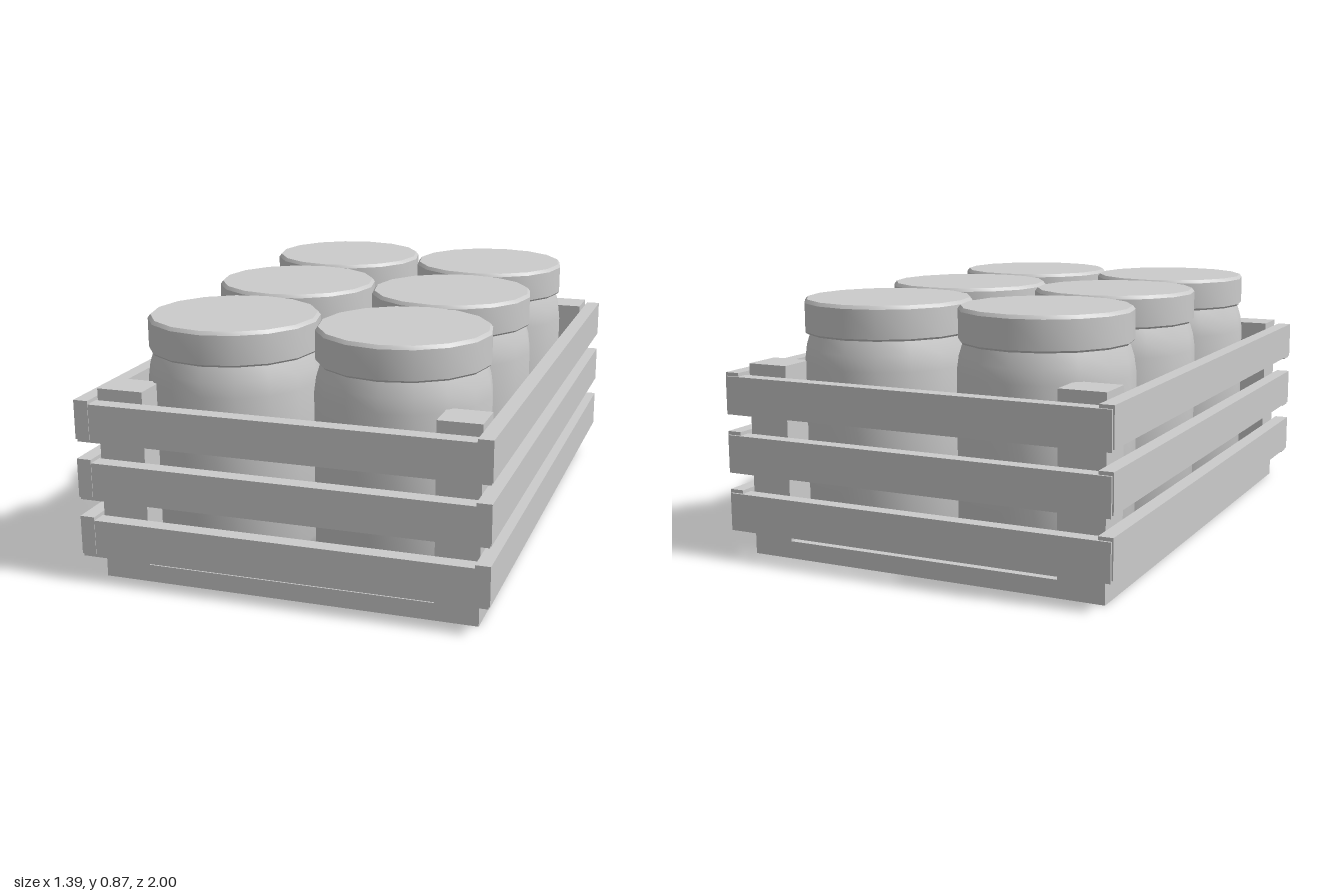
import * as THREE from 'three';
import { toCreasedNormals } from 'three/addons/utils/BufferGeometryUtils.js';

export function createModel() {
  const model = new THREE.Group();
  model.name = 'jarCrate';
  const mat = new THREE.MeshStandardMaterial({ color: 0xcccccc });

  // Box given by its minimum and maximum on each axis
  const box = (name, [x0, x1], [y0, y1], [z0, z1], parent = model) => {
    const mesh = new THREE.Mesh(new THREE.BoxGeometry(x1 - x0, y1 - y0, z1 - z0), mat);
    mesh.position.set((x0 + x1) / 2, (y0 + y1) / 2, (z0 + z1) / 2);
    mesh.name = name;
    parent.add(mesh);
  };

  // Floor board
  box('floor', [-0.645, 0.645], [0, 0.06], [-0.93, 0.93]);

  // Corner posts
  for (const z of [[-0.93, -0.79], [0.795, 0.93]]) {
    box('cornerPost', [-0.645, -0.485], [0.06, 0.66], z);
    box('cornerPost', [0.5, 0.645], [0.06, 0.66], z);
  }

  // Three rows of slats; the end slats sit slightly lower than the side slats
  for (let i = 0; i < 3; i++) {
    const y = 0.103 + i * 0.2;
    const side = [y, y + 0.133];
    const end = [y - 0.008, y + 0.121];
    box('leftSlat', [0.645, 0.695], side, [-0.992, 1]);
    box('rightSlat', [-0.695, -0.645], side, [-0.992, 1]);
    box('frontSlat', [-0.69, 0.69], end, [0.943, 0.998]);
    box('backSlat', [-0.69, 0.69], end, [-1, -0.95]);
  }

  // Jar body and lid profiles, turned with 16 sides
  const turned = (pts) => toCreasedNormals(new THREE.LatheGeometry(
    pts.map(([r, y]) => new THREE.Vector2(r, y)), 16), 0.6);
  const bodyGeo = turned([[0, 0.068], [0.278, 0.068], [0.295, 0.11], [0.295, 0.65],
    [0.288, 0.7], [0.272, 0.752], [0, 0.752]]);
  const lidGeo = turned([[0, 0.75], [0.283, 0.75], [0.29, 0.757], [0.29, 0.855],
    [0.281, 0.867], [0, 0.867]]);

  // Two columns of three jars
  for (const x of [-0.295, 0.301]) {
    for (const z of [-0.595, 0.003, 0.602]) {
      const jar = new THREE.Group();
      jar.name = 'jar';
      const body = new THREE.Mesh(bodyGeo, mat);
      body.name = 'jarBody';
      const lid = new THREE.Mesh(lidGeo, mat);
      lid.name = 'jarLid';
      jar.add(body, lid);
      jar.position.set(x, 0, z);
      model.add(jar);
    }
  }
  return model;
}
